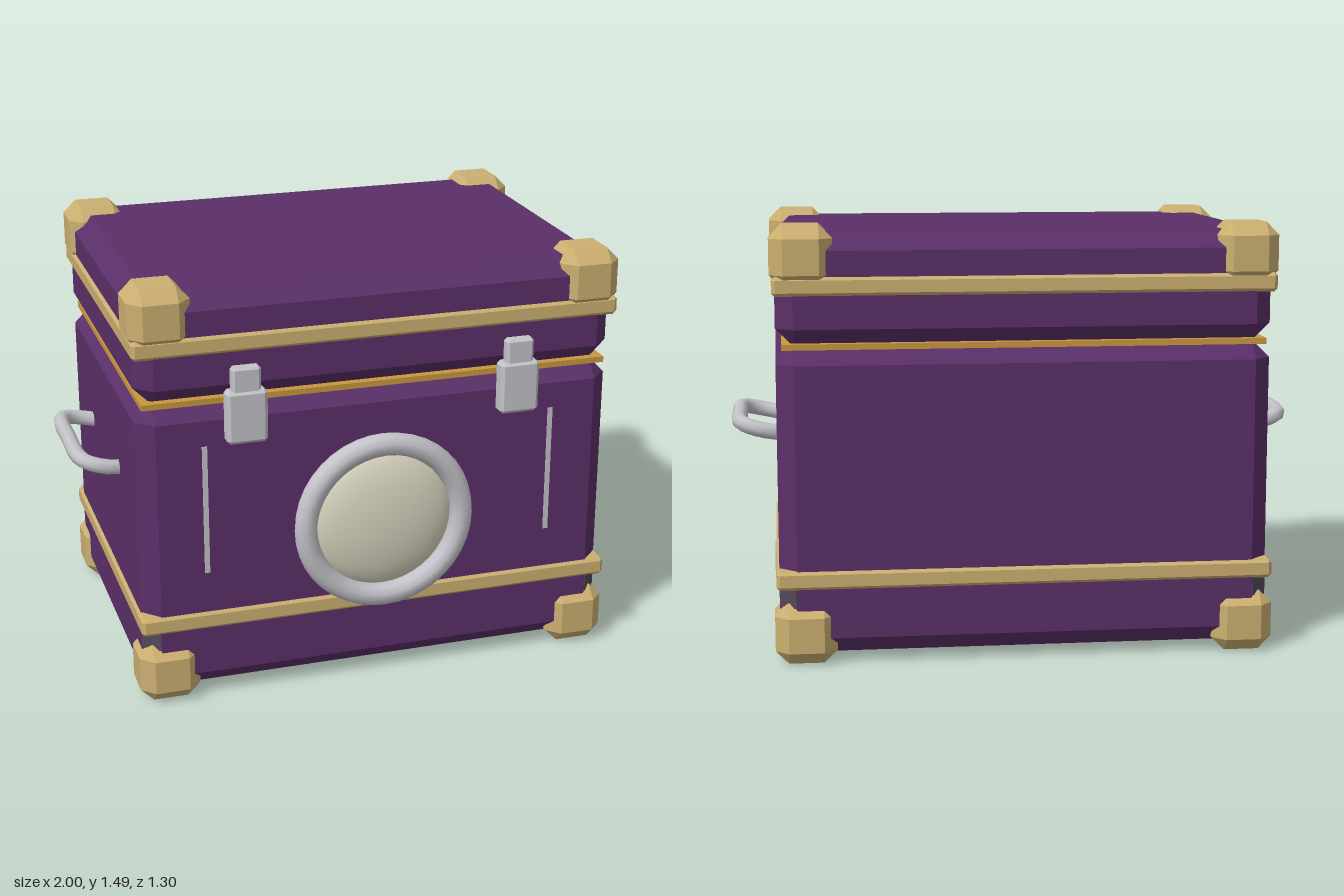
import * as THREE from 'three';
import { ConvexGeometry } from 'three/addons/geometries/ConvexGeometry.js';

const CZ = -0.03; // depth centre of the case

function material(name, color) {
  const m = new THREE.MeshStandardMaterial({ color });
  m.name = name;
  return m;
}

// Box with all twelve edges cut at 45 degrees
function chamferBox(w, h, d, c) {
  const x = w / 2, y = h / 2, z = d / 2, pts = [];
  for (const i of [-1, 1]) for (const j of [-1, 1]) for (const k of [-1, 1]) {
    pts.push(
      new THREE.Vector3(i * x, j * (y - c), k * (z - c)),
      new THREE.Vector3(i * (x - c), j * y, k * (z - c)),
      new THREE.Vector3(i * (x - c), j * (y - c), k * z));
  }
  return new ConvexGeometry(pts);
}

export function createModel() {
  const model = new THREE.Group();
  model.name = 'trunk';
  const purple = material('purple', 0x5a2f68);
  const gold = material('gold', 0xcbaf71);
  const brass = material('brass', 0xc8973f);
  const silver = material('silver', 0xc4c3c9);
  const cream = material('cream', 0xdad5c0);
  const dark = material('dark grey', 0x524859);

  const add = (name, geometry, mat, x, y, z) => {
    const mesh = new THREE.Mesh(geometry, mat);
    mesh.name = name;
    mesh.position.set(x, y, z);
    model.add(mesh);
    return mesh;
  };

  // Case and lid
  add('body', chamferBox(1.68, 1.05, 1.2, 0.06), purple, 0, 0.555, CZ);
  add('lid', chamferBox(1.68, 0.38, 1.2, 0.06), purple, 0, 1.27, CZ);

  // Trim around the case
  add('seam', new THREE.BoxGeometry(1.64, 0.02, 1.16), brass, 0, 1.08, CZ);
  add('lowerBand', chamferBox(1.7, 0.066, 1.22, 0.012), gold, 0, 0.292, CZ);
  add('upperBand', chamferBox(1.7, 0.066, 1.22, 0.012), gold, 0, 1.283, CZ);

  // Corner guards, corner strips and feet
  const guard = chamferBox(0.21, 0.21, 0.21, 0.045);
  const strip = new THREE.BoxGeometry(0.08, 0.07, 0.006);
  const foot = new THREE.CylinderGeometry(0.045, 0.045, 0.03, 12);
  for (const sx of [-1, 1]) for (const sz of [-1, 1]) {
    for (const y of [0.105, 1.38]) add('cornerGuard', guard, gold, sx * 0.752, y, CZ + sz * 0.517);
    add('cornerStrip', strip, dark, sx * 0.81, 0.23, CZ + sz * 0.57).rotation.y = Math.atan2(sx, sz);
    add('foot', foot, dark, sx * 0.61, 0.023, CZ + sz * 0.42);
  }

  // Round front porthole
  add('portholeRing', new THREE.TorusGeometry(0.28, 0.04, 10, 40), silver, 0, 0.6, 0.608);
  const dome = new THREE.SphereGeometry(0.255, 32, 8, 0, Math.PI * 2, 0, Math.PI / 2);
  dome.rotateX(Math.PI / 2).scale(1, 1, 0.28);
  add('portholeDome', dome, cream, 0, 0.6, 0.572);

  // Latches and slim front inlays
  for (const sx of [-1, 1]) {
    add('latch', chamferBox(0.14, 0.185, 0.06, 0.012), silver, sx * 0.48, 1.037, 0.595);
    add('latchTab', chamferBox(0.1, 0.14, 0.042, 0.01), silver, sx * 0.48, 1.14, 0.596);
    add('frontInlay', new THREE.BoxGeometry(0.018, 0.46, 0.006), silver, sx * 0.617, 0.7, 0.57);
  }

  // Side carry handles
  for (const sx of [-1, 1]) {
    const path = new THREE.CatmullRomCurve3([
      [0.82, 0.738, -0.235], [0.895, 0.752, -0.245], [0.955, 0.768, -0.215], [0.97, 0.772, 0],
      [0.955, 0.768, 0.215], [0.895, 0.752, 0.245], [0.82, 0.738, 0.235],
    ].map(([x, y, z]) => new THREE.Vector3(sx * x, y, z)));
    add('handle', new THREE.TubeGeometry(path, 24, 0.028, 8), silver, 0, 0, CZ);
  }
  return model;
}
